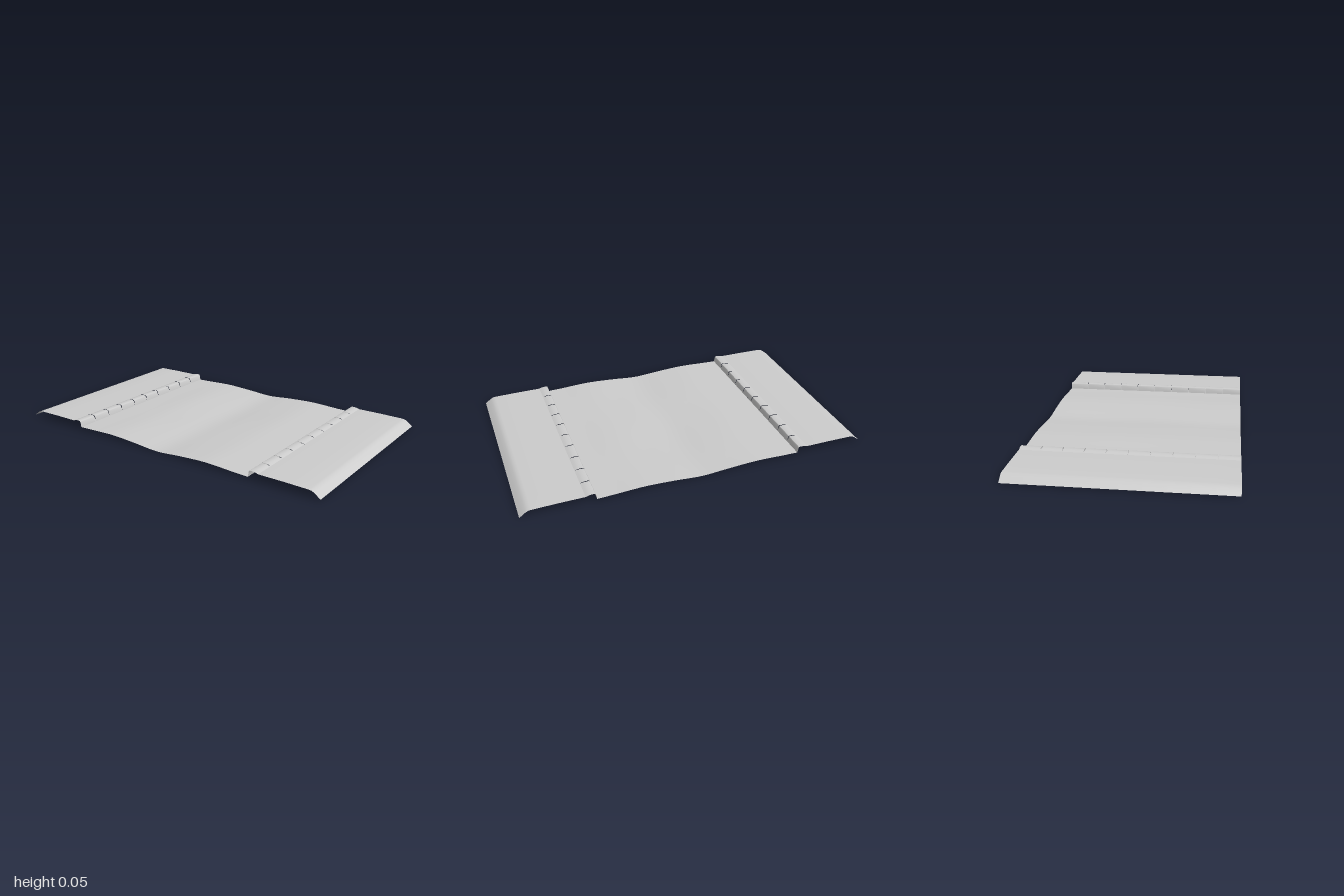
import * as THREE from 'three';
import { toCreasedNormals } from 'three/addons/utils/BufferGeometryUtils.js';

const HALF = 0.588; // half length of the road section along z
const STONES = 10;  // kerb stones per side
const GAP = 0.005;  // joint between kerb stones

const material = new THREE.MeshStandardMaterial({ color: 0xcccccc, side: THREE.DoubleSide });

// Sweep an open profile of [x, y] points (x ascending) along z as a thin sheet
function sheet(name, profile, z0, z1, { rows = 1, crease = 0, bump = () => 0 } = {}) {
  const cols = profile.length - 1;
  let geo = new THREE.PlaneGeometry(1, 1, cols, rows);
  const pos = geo.attributes.position;
  for (let i = 0; i < pos.count; i++) {
    const [x, y] = profile[i % (cols + 1)];
    const z = z0 + (z1 - z0) * Math.floor(i / (cols + 1)) / rows;
    pos.setXYZ(i, x, y + bump(x, z), z);
  }
  geo.computeVertexNormals();
  if (crease) geo = toCreasedNormals(geo, crease);
  const mesh = new THREE.Mesh(geo, material);
  mesh.name = name;
  return mesh;
}

// Put a profile drawn on the +x side onto either side
const onSide = (profile, s) =>
  s > 0 ? profile : profile.map(([x, y]) => [-x, y]).reverse();

export function createModel() {
  const model = new THREE.Group();
  model.name = 'roadSection';

  // Carriageway: dipped in the middle, worn gently uneven
  const curve = new THREE.SplineCurve([
    [-0.592, 0.013], [-0.5, 0.016], [-0.33, 0.022], [-0.16, 0.014], [0, 0.003],
    [0.16, 0.014], [0.33, 0.022], [0.5, 0.016], [0.592, 0.013],
  ].map(([x, y]) => new THREE.Vector2(x, y)));
  const roadProfile = curve.getPoints(48).map((p) => [p.x, p.y]);
  const wear = (x, z) =>
    0.0015 * Math.cos(x * 2.65) * Math.sin(z * 8) * Math.cos(x * 7 + z * 2);
  model.add(sheet('carriageway', roadProfile, -HALF, HALF, { rows: 40, bump: wear }));

  const kerb = [[0.592, 0.013], [0.597, 0.043], [0.6, 0.048], [0.605, 0.05],
    [0.628, 0.05], [0.64, 0.047], [0.652, 0.043]];
  // Lower profile that shows in the joints between the stones
  const joint = [[0.592, 0.013], [0.602, 0.042], [0.61, 0.045], [0.628, 0.046], [0.652, 0.043]];
  // Verge: nearly flat, then falling away at the outer edge
  const verge = [[0.652, 0.043], [0.8, 0.043], [0.935, 0.041], [0.95, 0.039],
    [0.965, 0.032], [0.983, 0.019], [1, 0.006]];

  for (const s of [1, -1]) {
    const side = new THREE.Group();
    side.name = s > 0 ? 'leftRoadside' : 'rightRoadside';
    side.add(sheet('verge', onSide(verge, s), -HALF, HALF, { rows: 10, crease: 0.7 }));
    const pitch = 2 * HALF / STONES;
    for (let i = 0; i < STONES; i++) {
      const start = -HALF + i * pitch;
      const z0 = start + (i ? GAP / 2 : 0);
      const z1 = start + pitch - (i < STONES - 1 ? GAP / 2 : 0);
      side.add(sheet('kerbStone', onSide(kerb, s), z0, z1, { crease: 0.6 }));
      if (i) side.add(sheet('kerbJoint', onSide(joint, s), start - GAP / 2, z0, { crease: 0.6 }));
    }
    model.add(side);
  }

  // Rest the lowest point on the ground
  model.position.y = -new THREE.Box3().setFromObject(model, true).min.y;
  return model;
}
